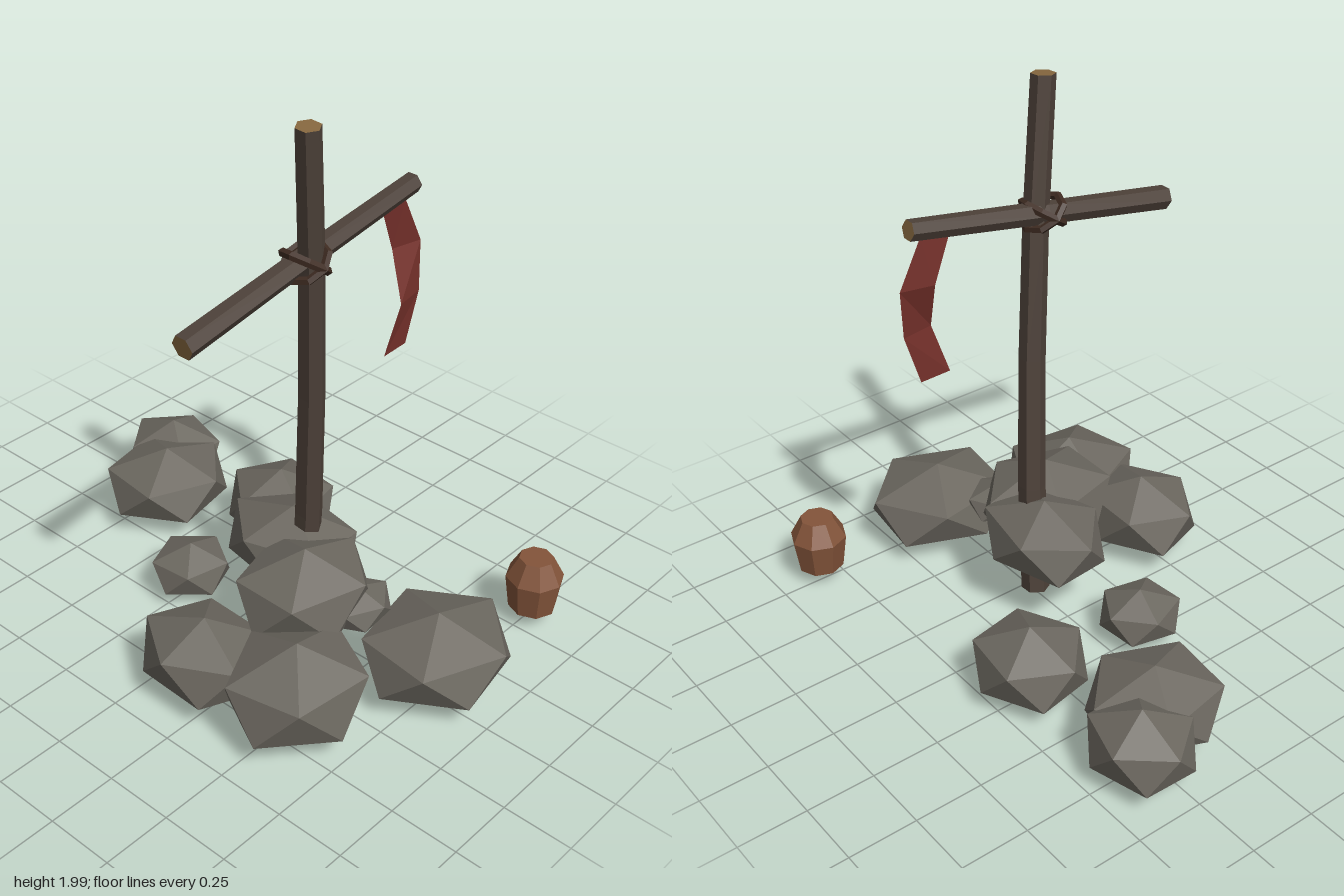
import * as THREE from 'three';

const mat = (color, extra = {}) => new THREE.MeshStandardMaterial({ color, flatShading: true, ...extra });
const stone = mat(0x6b675f);
const wood = mat(0x4d4139);
const cutWood = mat(0x86683f);
const rope = mat(0x3f2c22);
const cloth = mat(0x74302a, { side: THREE.DoubleSide });
const barrelWood = mat(0x83543a);

function add(parent, name, geometry, material) {
  const mesh = new THREE.Mesh(geometry, material);
  mesh.name = name;
  parent.add(mesh);
  return mesh;
}

// Flattened icosahedron standing on one of its corners
function rockGeometry([x, y, z, rx, ry, rz, spin]) {
  const g = new THREE.IcosahedronGeometry(1, 0);
  g.rotateX(-Math.atan((1 + Math.sqrt(5)) / 2));
  g.rotateY(spin);
  g.scale(rx / 0.885, ry, rz / 0.885);
  g.translate(x, y, z);
  return g;
}

// Six-sided timber following a list of points, tapering from r0 to r1
function beamGeometry(points, r0, r1) {
  const p = points.map((a) => new THREE.Vector3(...a));
  const n = p.length - 1;
  const g = new THREE.CylinderGeometry(1, 1, 1, 6, n);
  const axis = p[n].clone().sub(p[0]).normalize();
  const turn = new THREE.Quaternion().setFromUnitVectors(new THREE.Vector3(0, 1, 0), axis);
  const pos = g.attributes.position;
  const v = new THREE.Vector3();
  for (let i = 0; i < pos.count; i++) {
    v.fromBufferAttribute(pos, i);
    const t = v.y + 0.5;
    v.y = 0;
    v.multiplyScalar(r0 + (r1 - r0) * t).applyQuaternion(turn).add(p[Math.round(t * n)]);
    pos.setXYZ(i, v.x, v.y, v.z);
  }
  g.computeVertexNormals();
  return g;
}

// Strip of cloth from rows of [left x, right x, y, left z, right z]
function stripGeometry(rows) {
  const pos = [], idx = [];
  rows.forEach(([xl, xr, y, zl, zr], i) => {
    pos.push(xl, y, zl, xr, y, zr);
    if (i) {
      const a = 2 * i - 2;
      idx.push(a, a + 2, a + 1, a + 1, a + 2, a + 3);
    }
  });
  const g = new THREE.BufferGeometry();
  g.setAttribute('position', new THREE.Float32BufferAttribute(pos, 3));
  g.setIndex(idx);
  g.computeVertexNormals();
  return g;
}

export function createModel() {
  const model = new THREE.Group();
  model.name = 'woodenGraveMarker';

  // Rocks: centre x, y, z, half sizes x, y, z, spin
  const rocks = new THREE.Group();
  rocks.name = 'rocks';
  model.add(rocks);
  [
    [0.06, 0.17, 0.735, 0.27, 0.15, 0.245, 0.2],
    [-0.415, 0.185, 0.52, 0.255, 0.175, 0.23, 0.5],
    [-0.495, 0.175, 0.18, 0.195, 0.15, 0.23, 0.9],
    [-0.14, 0.32, 0.31, 0.25, 0.16, 0.215, 0.3],
    [0.02, 0.33, 0.11, 0.19, 0.145, 0.25, 0.7],
    [-0.04, 0.27, 0.46, 0.13, 0.075, 0.11, 0.1],
    [-0.135, 0.12, -0.245, 0.145, 0.1, 0.14, 0.4],
    [0.355, 0.155, -0.245, 0.19, 0.145, 0.205, 0.8],
    [0.155, 0.165, -0.66, 0.235, 0.14, 0.22, 0.2],
    [0.32, 0.16, -0.79, 0.17, 0.14, 0.19, 0.6],
  ].forEach((r) => add(rocks, 'rock', rockGeometry(r), stone));

  // Leaning post and crossbar with pale cut ends
  const timber = [wood, cutWood, cutWood];
  add(model, 'post', beamGeometry([
    [0.03, 0.07, 0.155], [0.015, 0.5, 0.19], [-0.02, 1.0, 0.225],
    [-0.065, 1.5, 0.255], [-0.125, 1.995, 0.285],
  ], 0.052, 0.043), timber);
  add(model, 'crossbar', beamGeometry([
    [-0.615, 1.435, 0.235], [-0.09, 1.527, 0.24], [0.44, 1.617, 0.25],
  ], 0.043, 0.036), timber);

  // Two crossed rope loops around the joint
  for (const s of [-1, 1]) {
    const g = new THREE.TorusGeometry(0.077, 0.015, 5, 8);
    g.rotateX(Math.PI / 2);
    g.rotateZ(s * 0.6);
    add(model, 'ropeLashing', g, rope).position.set(-0.09, 1.525, 0.25);
  }

  // Torn cloth hanging from the crossbar
  add(model, 'clothStrip', stripGeometry([
    [0.28, 0.39, 1.575, 0.25, 0.26],
    [0.355, 0.475, 1.4, 0.24, 0.265],
    [0.34, 0.46, 1.22, 0.3, 0.28],
    [0.285, 0.405, 1.035, 0.28, 0.275],
  ]), cloth);

  // Small eight-sided barrel
  const profile = [[0, 0.07], [0.086, 0.07], [0.105, 0.2], [0.062, 0.28], [0, 0.28]]
    .map(([r, y]) => new THREE.Vector2(r, y));
  add(model, 'barrel', new THREE.LatheGeometry(profile, 8), barrelWood).position.set(0.58, 0, 0.77);

  return model;
}
